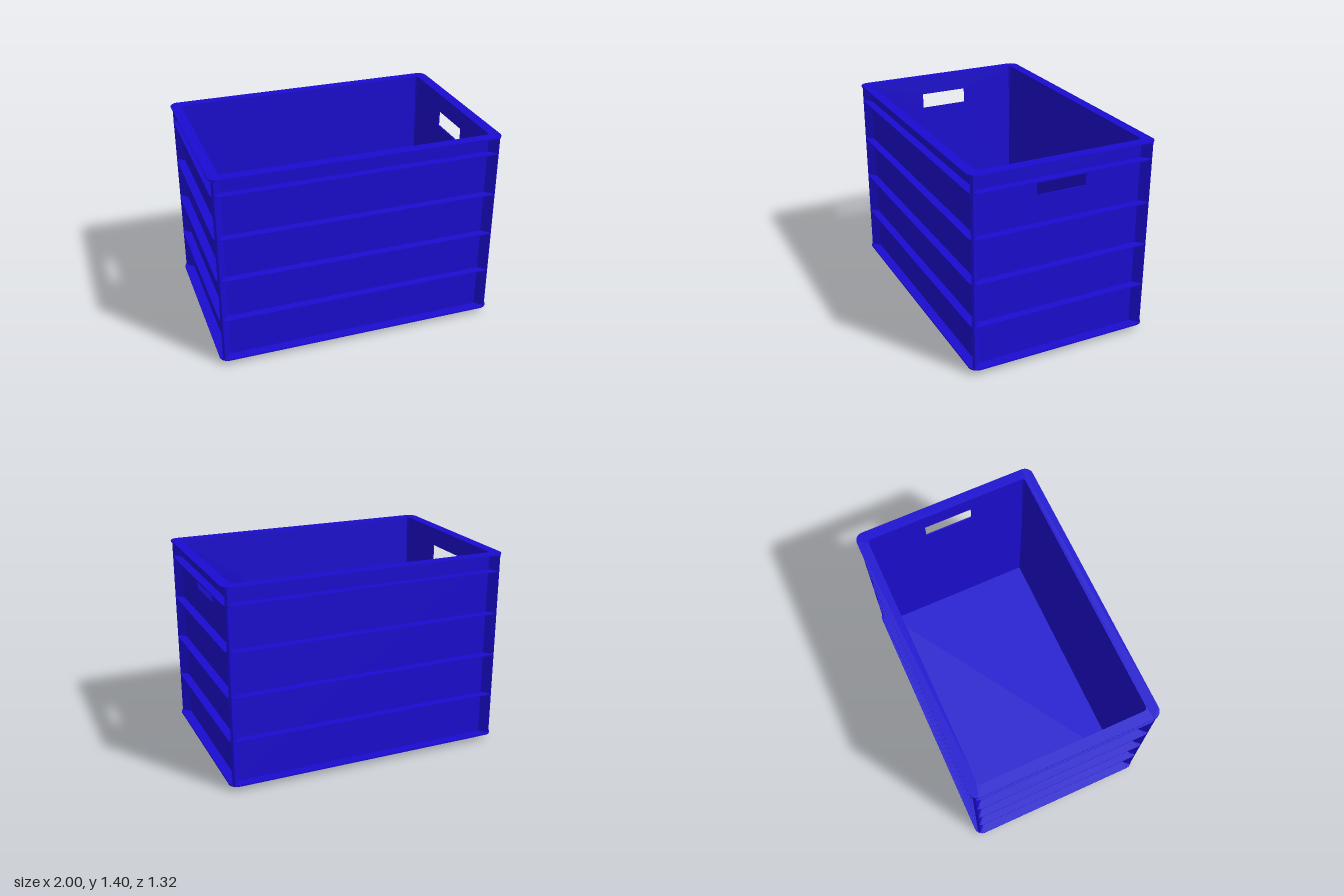
import * as THREE from 'three';

const material = new THREE.MeshStandardMaterial({ color: 0x1b0cd0 });
const HALF_X = 0.932, HALF_Z = 0.594;   // outer faces of the walls
const BASE = 0.04, TOP = 1.4, SKIN = 0.006, DRAFT = 0.021;

function add(parent, name, geometry) {
  const mesh = new THREE.Mesh(geometry, material);
  mesh.name = name;
  parent.add(mesh);
  return mesh;
}

// Rounded rectangle centred on the origin
function roundedRect(hx, hz, r, target = new THREE.Shape()) {
  target.absarc(hx - r, hz - r, r, 0, Math.PI / 2);
  target.absarc(-hx + r, hz - r, r, Math.PI / 2, Math.PI);
  target.absarc(-hx + r, -hz + r, r, Math.PI, Math.PI * 1.5);
  target.absarc(hx - r, -hz + r, r, Math.PI * 1.5, Math.PI * 2);
  target.closePath();
  return target;
}

// Horizontal plate between two heights, with an optional opening
function plate(shape, y0, y1) {
  const geometry = new THREE.ExtrudeGeometry(shape, { depth: y1 - y0, bevelEnabled: false, curveSegments: 8 });
  return geometry.rotateX(-Math.PI / 2).translate(0, y0, 0);
}

function flange(hx, hz, r, y, thickness) {
  const shape = roundedRect(hx, hz, r);
  shape.holes.push(roundedRect(HALF_X - SKIN, HALF_Z - SKIN, 0.025, new THREE.Path()));
  return plate(shape, y - thickness / 2, y + thickness / 2);
}

function rectangle(target, hw, y0, y1) {
  target.moveTo(-hw, y0);
  target.lineTo(hw, y0);
  target.lineTo(hw, y1);
  target.lineTo(-hw, y1);
  target.closePath();
  return target;
}

// Thin wall whose inner face leans inwards towards the floor
function wall(halfWidth, distance, handle) {
  const shape = rectangle(new THREE.Shape(), halfWidth, BASE, TOP);
  if (handle) shape.holes.push(rectangle(new THREE.Path(), 0.176, 1.163, 1.275));
  const geometry = new THREE.ExtrudeGeometry(shape, { depth: SKIN, bevelEnabled: false });
  const p = geometry.attributes.position;
  for (let i = 0; i < p.count; i++) {
    if (p.getZ(i) < SKIN / 2) p.setZ(i, -DRAFT * (TOP - p.getY(i)) / (TOP - BASE));
  }
  geometry.computeVertexNormals();
  return geometry.translate(0, 0, distance - SKIN);
}

export function createModel() {
  const crate = new THREE.Group();
  crate.name = 'storageCrate';

  // Floor with the stacking plinth
  add(crate, 'floor', plate(roundedRect(HALF_X, HALF_Z, 0.02), 0, BASE + 0.004));

  // Long walls, and end walls with hand openings
  for (const side of [0, 1]) {
    add(crate, side ? 'backWall' : 'frontWall', wall(HALF_X - 0.001, HALF_Z, false)).rotation.y = side * Math.PI;
    add(crate, side ? 'rightWall' : 'leftWall', wall(HALF_Z - 0.001, HALF_X, true)).rotation.y = Math.PI / 2 - side * Math.PI;
  }

  // Diagonal fin at each corner
  for (const sx of [-1, 1]) {
    for (const sz of [-1, 1]) {
      const fin = add(crate, 'cornerFin', new THREE.BoxGeometry(0.084, TOP - BASE, 0.018));
      fin.position.set(sx * 0.948, (TOP + BASE) / 2, sz * 0.61);
      fin.rotation.y = -sx * sz * Math.PI / 4;
    }
  }

  // Top rim, bottom flange and the ribs between them
  add(crate, 'topRim', flange(1, 0.66, 0.06, 1.4, 0.01));
  add(crate, 'bottomFlange', flange(1, 0.66, 0.06, 0.045, 0.01));
  for (const y of [0.357, 0.664, 0.972, 1.279]) {
    add(crate, 'rib', flange(0.99, 0.65, 0.05, y, 0.008));
  }
  return crate;
}
